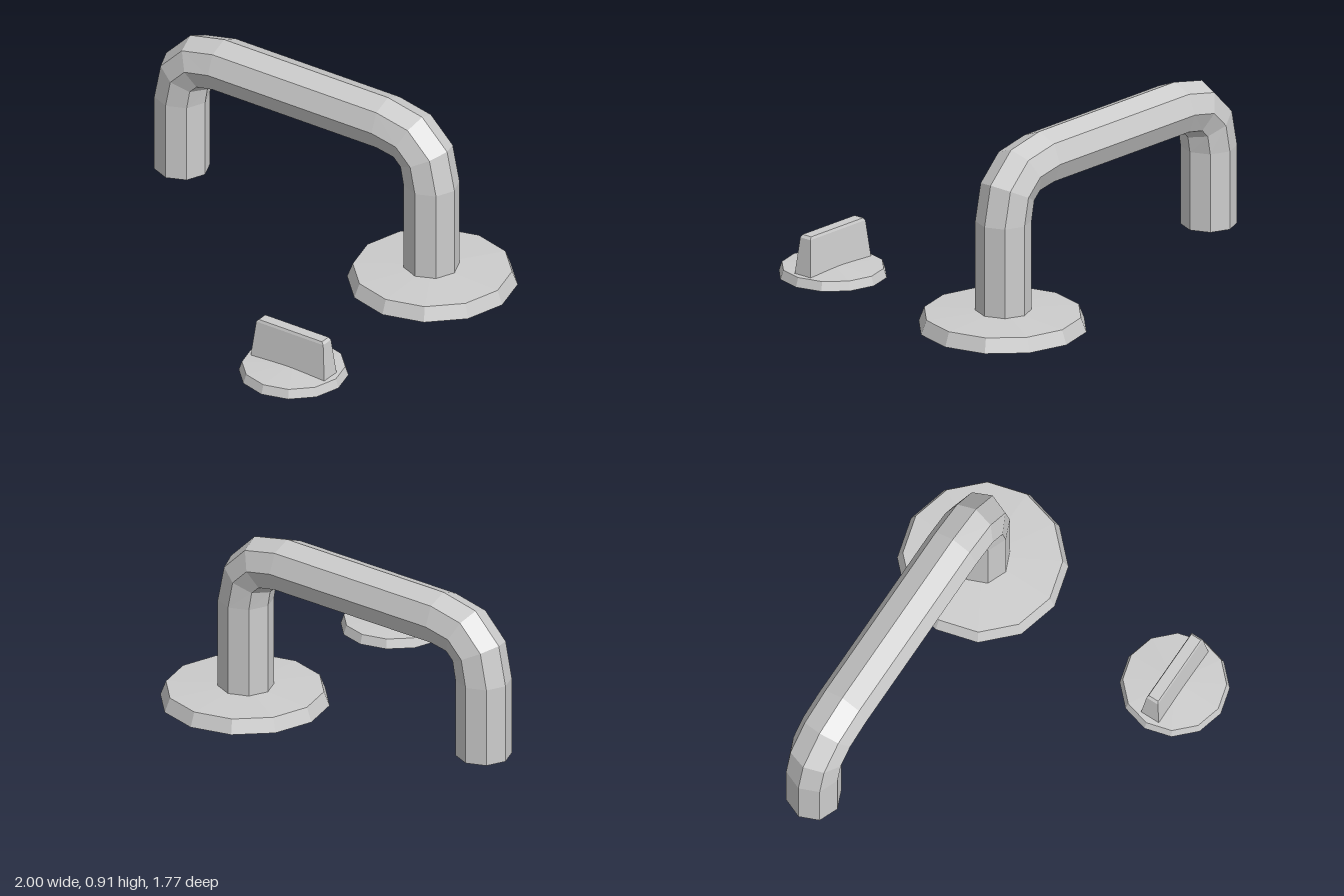
import * as THREE from 'three';

const material = new THREE.MeshStandardMaterial({ color: 0xcccccc, flatShading: true });
const shellMaterial = new THREE.MeshStandardMaterial({ color: 0xcccccc, flatShading: true, side: THREE.DoubleSide });

function addMesh(parent, name, geometry, surface) {
  const mesh = new THREE.Mesh(geometry, surface);
  mesh.name = name;
  parent.add(mesh);
  return mesh;
}

// Closed, faceted skin over rings that run counter-clockwise about the loft direction
function loft(rings) {
  const out = [];
  const tri = (...corners) => corners.forEach((p) => out.push(p.x, p.y, p.z));
  const n = rings[0].length;
  for (let i = 0; i < rings.length - 1; i++) {
    for (let j = 0; j < n; j++) {
      const k = (j + 1) % n, lower = rings[i], upper = rings[i + 1];
      tri(lower[j], lower[k], upper[k]);
      tri(lower[j], upper[k], upper[j]);
    }
  }
  const first = rings[0], last = rings[rings.length - 1];
  for (let j = 1; j < n - 1; j++) {
    tri(first[0], first[j + 1], first[j]);
    tri(last[0], last[j], last[j + 1]);
  }
  const geometry = new THREE.BufferGeometry();
  geometry.setAttribute('position', new THREE.Float32BufferAttribute(out, 3));
  geometry.computeVertexNormals();
  return geometry;
}

// Twelve-sided hollow plate, open below, with a sloping rim and a slightly domed top
function plate(bottomRadius, topRadius, rim, peak) {
  const profile = [[bottomRadius, 0], [topRadius, rim], [0, peak]];
  return new THREE.LatheGeometry(profile.map(([r, y]) => new THREE.Vector2(r, y)), 12);
}

// Octagonal bar: leg, bend, straight, bend, leg
function leverBar() {
  const left = -0.865, right = 0.587, top = 0.774, spring = 0.528, radius = 0.134;
  const V = (x, y) => new THREE.Vector2(x, y);
  const bends = [
    new THREE.QuadraticBezierCurve(V(left, spring), V(left, top), V(-0.62, top)),
    new THREE.QuadraticBezierCurve(V(0.334, top), V(right, top), V(right, spring)),
  ];
  const stations = [[V(left, 0.137), V(0, 1)]];
  for (const bend of bends) {
    for (let i = 0; i <= 3; i++) stations.push([bend.getPoint(i / 3), bend.getTangent(i / 3)]);
  }
  stations.push([V(right, 0.07), V(0, -1)]);

  return loft(stations.map(([p, t]) => Array.from({ length: 8 }, (_, j) => {
    const a = (j / 8) * Math.PI * 2, c = radius * Math.cos(a);
    return new THREE.Vector3(p.x - t.y * c, p.y + t.x * c, radius * Math.sin(a));
  })));
}

// Tapered grip with a small chamfer round its top
function gripBlade() {
  const sections = [[0.046, 0.214, 0.05], [0.226, 0.195, 0.032], [0.239, 0.184, 0.027]]; // y, half width, half depth
  return loft(sections.map(([y, w, d]) =>
    [[-w, d], [w, d], [w, -d], [-w, -d]].map(([x, z]) => new THREE.Vector3(x, y, z))));
}

export function createModel() {
  const model = new THREE.Group();
  model.name = 'doorLeverSet';

  // Lever handle on its round plate
  const lever = new THREE.Group();
  lever.name = 'leverHandle';
  lever.position.z = -0.477;
  model.add(lever);
  addMesh(lever, 'leverBar', leverBar(), material);
  addMesh(lever, 'leverPlate', plate(0.406, 0.379, 0.07, 0.088), shellMaterial).position.x = 0.593;

  // Separate thumb turn
  const turn = new THREE.Group();
  turn.name = 'thumbTurn';
  turn.position.set(0.573, 0, 0.622);
  model.add(turn);
  addMesh(turn, 'turnPlate', plate(0.261, 0.246, 0.045, 0.057), shellMaterial);
  addMesh(turn, 'turnGrip', gripBlade(), material);

  return model;
}
